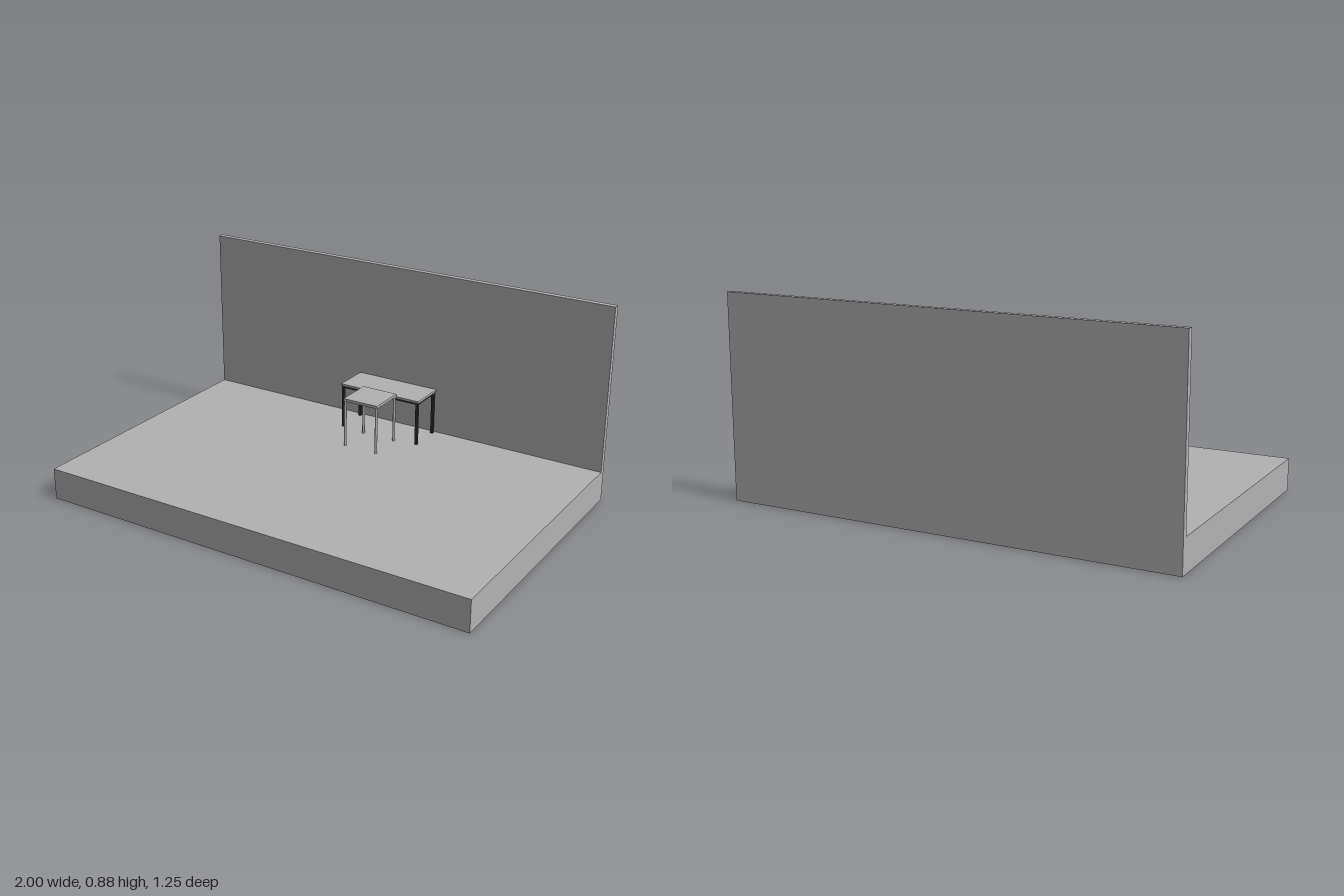
import * as THREE from 'three';

const grey = new THREE.MeshStandardMaterial({ color: 0xb2b2b2 });
grey.name = 'plain grey';
const dark = new THREE.MeshStandardMaterial({ color: 0x303132 });
dark.name = 'dark metal';

// Box given by its minimum and maximum corners
function box(name, material, [x0, y0, z0], [x1, y1, z1]) {
  const geometry = new THREE.BoxGeometry(x1 - x0, y1 - y0, z1 - z0);
  geometry.translate((x0 + x1) / 2, (y0 + y1) / 2, (z0 + z1) / 2);
  const mesh = new THREE.Mesh(geometry, material);
  mesh.name = name;
  return mesh;
}

const FLOOR = 0.141;

// Table: thin top on a dark frame with four square legs
function createTable() {
  const table = new THREE.Group();
  table.name = 'table';
  const w = 0.197, zBack = -0.587, zFront = -0.427, t = 0.012;
  const under = 0.343, railBottom = 0.333;
  table.add(box('tableTop', grey, [-0.2, under, -0.594], [0.2, 0.351, -0.425]));
  for (const x of [-w, w - t]) {
    for (const z of [zBack, zFront - t]) {
      table.add(box('tableLeg', dark, [x, FLOOR, z], [x + t, under, z + t]));
    }
    table.add(box('sideRail', dark, [x, railBottom, zBack + t], [x + t, under, zFront - t]));
  }
  for (const z of [zBack, zFront - t]) {
    table.add(box('longRail', dark, [-w + t, railBottom, z], [w - t, under, z + t]));
  }
  return table;
}

// Stool: square seat on four slim round legs
function createStool() {
  const stool = new THREE.Group();
  stool.name = 'stool';
  const half = 0.085, r = 0.006, seatBottom = 0.354;
  stool.add(box('seat', grey, [-half, seatBottom, -half], [half, 0.367, half]));
  const legGeometry = new THREE.CylinderGeometry(r, r, seatBottom - FLOOR, 16);
  for (const sx of [-1, 1]) {
    for (const sz of [-1, 1]) {
      const leg = new THREE.Mesh(legGeometry, grey);
      leg.name = 'stoolLeg';
      leg.position.set(sx * (half - r), (seatBottom + FLOOR) / 2, sz * (half - r));
      stool.add(leg);
    }
  }
  stool.position.set(0.007, 0, -0.334);
  return stool;
}

export function createModel() {
  const model = new THREE.Group();
  model.name = 'stageWithFurniture';
  model.add(box('floorSlab', grey, [-1, 0, -0.627], [1, FLOOR, 0.627]));
  model.add(box('backWall', grey, [-1, FLOOR, -0.627], [1, 0.885, -0.6]));
  model.add(createTable(), createStool());
  return model;
}
